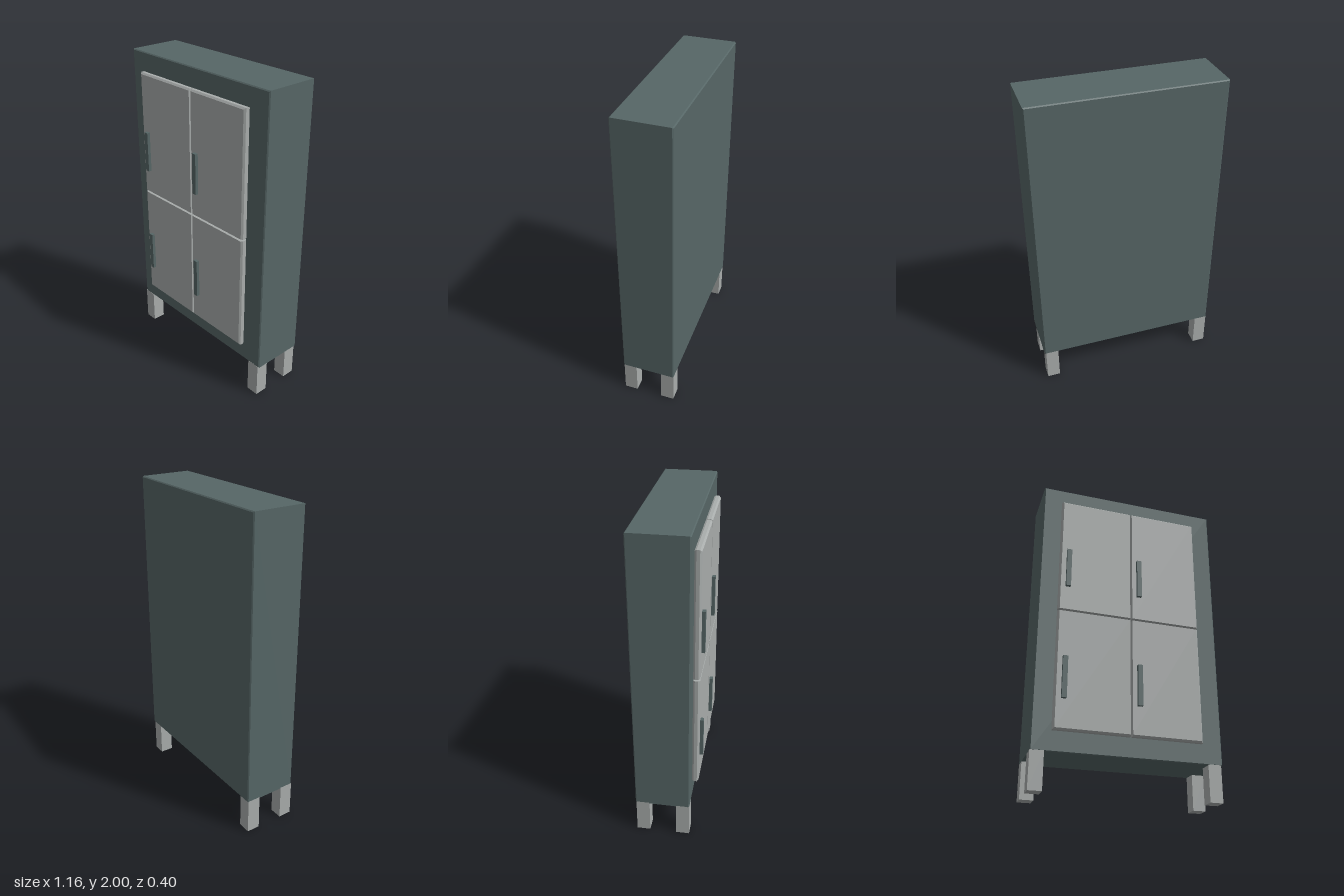
import * as THREE from 'three';

const bodyMat = new THREE.MeshStandardMaterial({ color: 0x566666 });
bodyMat.name = 'slate green';
const paleMat = new THREE.MeshStandardMaterial({ color: 0xa9adac });
paleMat.name = 'pale grey';

// Faceted solid through rectangular sections [x0, x1, y0, y1, z], back to front
function loft(sections) {
  const pos = [], idx = [];
  for (const [x0, x1, y0, y1, z] of sections) pos.push(x0, y0, z, x1, y0, z, x1, y1, z, x0, y1, z);
  for (let s = 0; s < sections.length - 1; s++) {
    for (let i = 0; i < 4; i++) {
      const a = s * 4 + i, b = s * 4 + (i + 1) % 4;
      idx.push(a, b, b + 4, a, b + 4, a + 4);
    }
  }
  const e = (sections.length - 1) * 4;
  idx.push(0, 2, 1, 0, 3, 2, e, e + 1, e + 2, e, e + 2, e + 3);
  const g = new THREE.BufferGeometry();
  g.setAttribute('position', new THREE.Float32BufferAttribute(pos, 3));
  g.setIndex(idx);
  const flat = g.toNonIndexed();
  flat.computeVertexNormals();
  return flat;
}

function add(parent, name, geometry, material) {
  const mesh = new THREE.Mesh(geometry, material);
  mesh.name = name;
  parent.add(mesh);
  return mesh;
}

function addBox(parent, name, w, h, d, x, y, z, material) {
  add(parent, name, new THREE.BoxGeometry(w, h, d), material).position.set(x, y, z);
}

export function createModel() {
  const cabinet = new THREE.Group();
  cabinet.name = 'cabinet';

  // Carcass with finely bevelled edges
  const b = 0.006;
  add(cabinet, 'body', loft([
    [-0.58 + b, 0.58 - b, 0.22 + b, 2 - b, -0.2],
    [-0.58, 0.58, 0.22, 2, -0.2 + b],
    [-0.58, 0.58, 0.22, 2, 0.14 - b],
    [-0.58 + b, 0.58 - b, 0.22 + b, 2 - b, 0.14],
  ]), bodyMat);

  // Four doors, chamfered on their outer edges, each with a bar handle
  const columns = [
    { side: 'right', x0: -0.465, x1: -0.005, handleX: -0.41 },
    { side: 'left', x0: 0.005, x1: 0.445, handleX: 0.05 },
  ];
  const rows = [
    { level: 'lower', y0: 0.34, y1: 1.088, handleY: 0.655 },
    { level: 'upper', y0: 1.098, y1: 1.885, handleY: 1.385 },
  ];
  for (const { side, x0, x1, handleX } of columns) {
    for (const { level, y0, y1, handleY } of rows) {
      const section = (outer, inner, z) => [
        x0 + (side === 'right' ? outer : inner), x1 - (side === 'left' ? outer : inner),
        y0 + (level === 'lower' ? outer : inner), y1 - (level === 'upper' ? outer : inner), z,
      ];
      const door = new THREE.Group();
      door.name = `${level} ${side} door`;
      add(door, 'doorPanel', loft([
        section(0.006, 0, 0.138), section(0, 0, 0.15),
        section(0, 0, 0.17), section(0.01, 0.002, 0.18),
      ]), paleMat);
      addBox(door, 'handle', 0.03, 0.26, 0.022, handleX, handleY, 0.189, bodyMat);
      cabinet.add(door);
    }
  }

  // Square legs
  for (const x of [-0.539, 0.529]) {
    for (const z of [0.098, -0.153]) addBox(cabinet, 'leg', 0.082, 0.225, 0.084, x, 0.1125, z, paleMat);
  }
  return cabinet;
}
